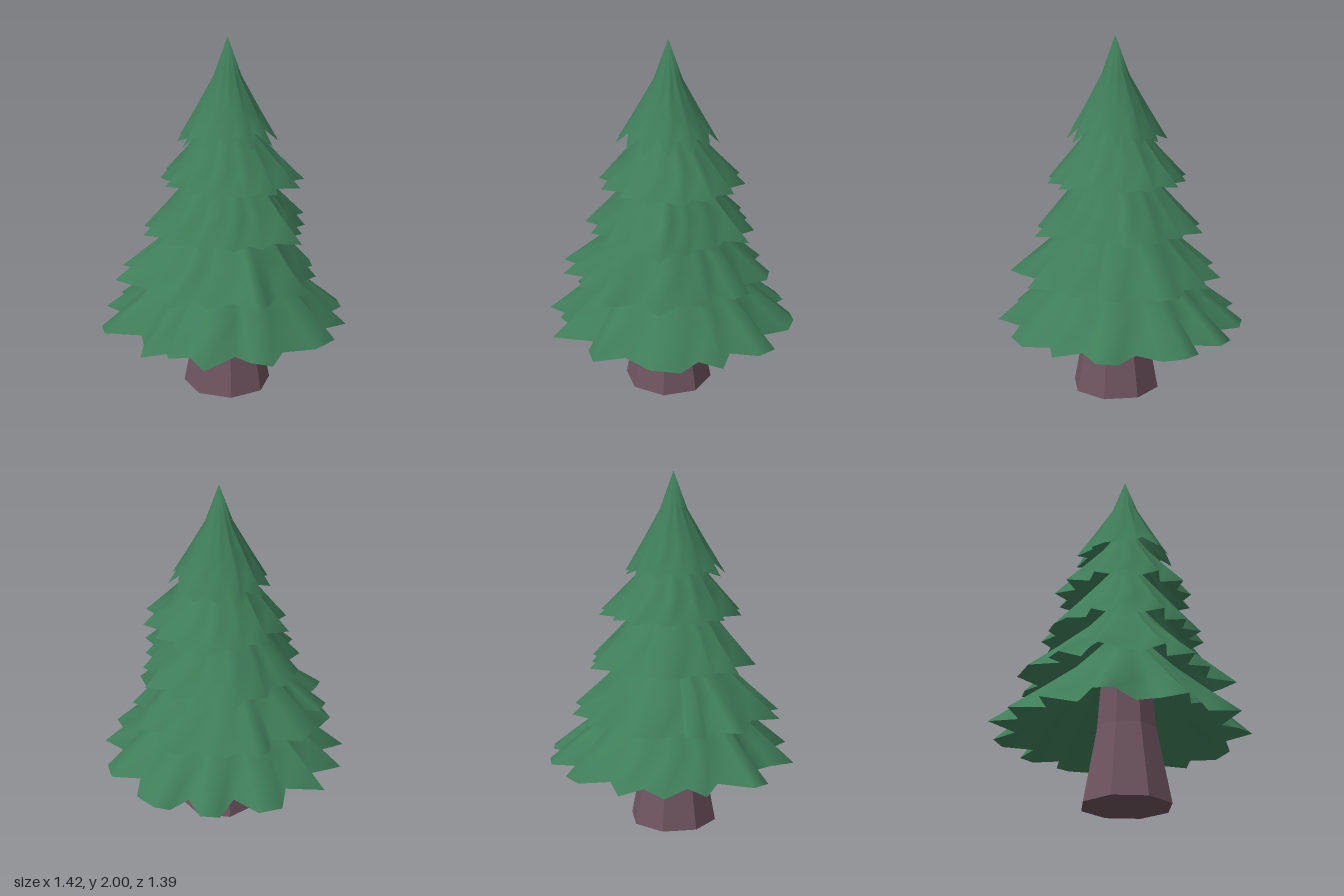
import * as THREE from 'three';

const AXIS = [-0.01, 0.045]; // trunk axis in x and z

// Jagged star outline with slightly uneven lobes
function starRim(lobes, peak, valley, cx, cz) {
  const pts = [];
  for (let i = 0; i < lobes * 2; i++) {
    const a = (i / (lobes * 2)) * Math.PI * 2;
    const r = (i % 2 ? valley : peak) * (1 + 0.04 * Math.sin(i * 2.3));
    pts.push([cx + r * Math.cos(a), cz + r * Math.sin(a)]);
  }
  return pts;
}

// Hollow skirt of foliage: jagged rim, then round shoulder, then closed point
function tier({ name, rim, y, shoulder, top, notch = 0 }, material) {
  const n = rim.length;
  const pos = [];
  const index = [];
  const mid = 0.5;
  const [rs, ys] = shoulder;
  const ring = (fn) => rim.forEach((p, i) => pos.push(...fn(p, i)));
  const onShoulder = ([x, z]) => {
    const a = Math.atan2(z - AXIS[1], x - AXIS[0]);
    const r = rs * (0.8 + 0.2 * Math.hypot(x - AXIS[0], z - AXIS[1]) / meanR);
    return [AXIS[0] + r * Math.cos(a), ys, AXIS[1] + r * Math.sin(a)];
  };
  const meanR = rim.reduce((s, [x, z]) => s + Math.hypot(x - AXIS[0], z - AXIS[1]), 0) / n;

  ring(([x, z], i) => [x, y + (i % 2 ? notch * (z > 0 ? 1 : 0.4) : 0), z]);
  ring((p) => {
    const s = onShoulder(p);
    return [p[0] + (s[0] - p[0]) * mid, y + (ys - y) * (mid - 0.01), p[1] + (s[2] - p[1]) * mid];
  });
  ring(onShoulder);
  pos.push(AXIS[0], top, AXIS[1]);

  for (let k = 0; k < 2; k++) {
    for (let i = 0; i < n; i++) {
      const a = k * n + i, b = k * n + (i + 1) % n;
      index.push(a, a + n, b, b, a + n, b + n);
    }
  }
  for (let i = 0; i < n; i++) index.push(2 * n + i, 3 * n, 2 * n + (i + 1) % n);

  const geo = new THREE.BufferGeometry();
  geo.setAttribute('position', new THREE.Float32BufferAttribute(pos, 3));
  geo.setIndex(index);
  geo.computeVertexNormals();
  const mesh = new THREE.Mesh(geo, material);
  mesh.name = name;
  return mesh;
}

export function createModel() {
  const tree = new THREE.Group();
  tree.name = 'pineTree';
  const leaf = new THREE.MeshStandardMaterial({ color: 0x3f7d59, side: THREE.DoubleSide });
  const bark = new THREE.MeshStandardMaterial({ color: 0x705560, flatShading: true });

  // Eight-sided trunk, flared at the foot and running up inside the foliage
  const profile = [[0, 0], [0.25, 0], [0.17, 0.42], [0.13, 0.9], [0, 0.9]];
  const trunk = new THREE.Mesh(
    new THREE.LatheGeometry(profile.map(([r, h]) => new THREE.Vector2(r, h)), 8), bark);
  trunk.position.set(AXIS[0], 0, AXIS[1]);
  trunk.name = 'trunk';
  tree.add(trunk);

  // Rim outlines as [x, z], going round from the back
  const bottomRim = [
    [0.10, -0.70], [0.20, -0.51], [0.36, -0.575], [0.46, -0.485], [0.43, -0.31], [0.60, -0.325],
    [0.645, -0.225], [0.56, -0.10], [0.685, -0.06], [0.71, 0.03], [0.68, 0.16], [0.54, 0.235],
    [0.61, 0.385], [0.53, 0.47], [0.37, 0.46], [0.345, 0.625], [0.21, 0.57], [0.13, 0.695],
    [-0.035, 0.685], [-0.18, 0.57], [-0.345, 0.63], [-0.39, 0.515], [-0.385, 0.41], [-0.615, 0.39],
    [-0.545, 0.235], [-0.625, 0.15], [-0.59, 0.11], [-0.71, 0.03], [-0.59, -0.06], [-0.51, -0.155],
    [-0.62, -0.335], [-0.56, -0.415], [-0.36, -0.40], [-0.345, -0.60], [-0.22, -0.51],
    [-0.14, -0.685], [0, -0.57],
  ];
  const lowerRim = [
    [0.10, -0.55], [0.17, -0.40], [0.27, -0.44], [0.36, -0.42], [0.37, -0.30], [0.50, -0.24],
    [0.45, -0.12], [0.56, -0.02], [0.55, 0.10], [0.43, 0.17], [0.46, 0.28], [0.38, 0.36],
    [0.29, 0.33], [0.26, 0.47], [0.12, 0.45], [0, 0.60], [-0.10, 0.47], [-0.24, 0.52],
    [-0.36, 0.54], [-0.34, 0.36], [-0.48, 0.30], [-0.45, 0.18], [-0.60, 0.14], [-0.50, 0.03],
    [-0.635, -0.05], [-0.49, -0.12], [-0.50, -0.36], [-0.43, -0.37], [-0.30, -0.36],
    [-0.31, -0.49], [-0.21, -0.50], [-0.18, -0.42], [-0.08, -0.56],
  ];
  const middleRim = [
    [0.05, -0.40], [0.09, -0.34], [0.20, -0.38], [0.25, -0.30], [0.38, -0.28], [0.36, -0.17],
    [0.42, -0.12], [0.38, -0.04], [0.47, 0.05], [0.40, 0.12], [0.45, 0.24], [0.31, 0.22],
    [0.28, 0.37], [0.17, 0.35], [0.14, 0.45], [0.06, 0.42], [0, 0.55], [-0.09, 0.42],
    [-0.20, 0.44], [-0.20, 0.34], [-0.32, 0.35], [-0.31, 0.24], [-0.42, 0.20], [-0.36, 0.10],
    [-0.485, 0.03], [-0.38, -0.06], [-0.43, -0.20], [-0.31, -0.20], [-0.31, -0.31],
    [-0.20, -0.29], [-0.15, -0.38], [-0.05, -0.41],
  ];

  const tiers = [
    { name: 'bottomFoliage', rim: bottomRim, y: 0.39, shoulder: [0.31, 0.72], top: 1.05 },
    { name: 'lowerFoliage', rim: lowerRim, y: 0.665, shoulder: [0.235, 0.98], top: 1.25 },
    { name: 'middleFoliage', rim: middleRim, y: 0.945, shoulder: [0.195, 1.24], top: 1.48 },
    { name: 'upperFoliage', rim: starRim(14, 0.4, 0.32, 0.015, 0.05), y: 1.215,
      shoulder: [0.155, 1.48], top: 1.7 },
    { name: 'crownFoliage', rim: starRim(13, 0.28, 0.225, -0.012, 0.04), y: 1.44,
      shoulder: [0.075, 1.79], top: 2, notch: 0.07 },
  ];
  tiers.forEach((t) => tree.add(tier(t, leaf)));
  return tree;
}
